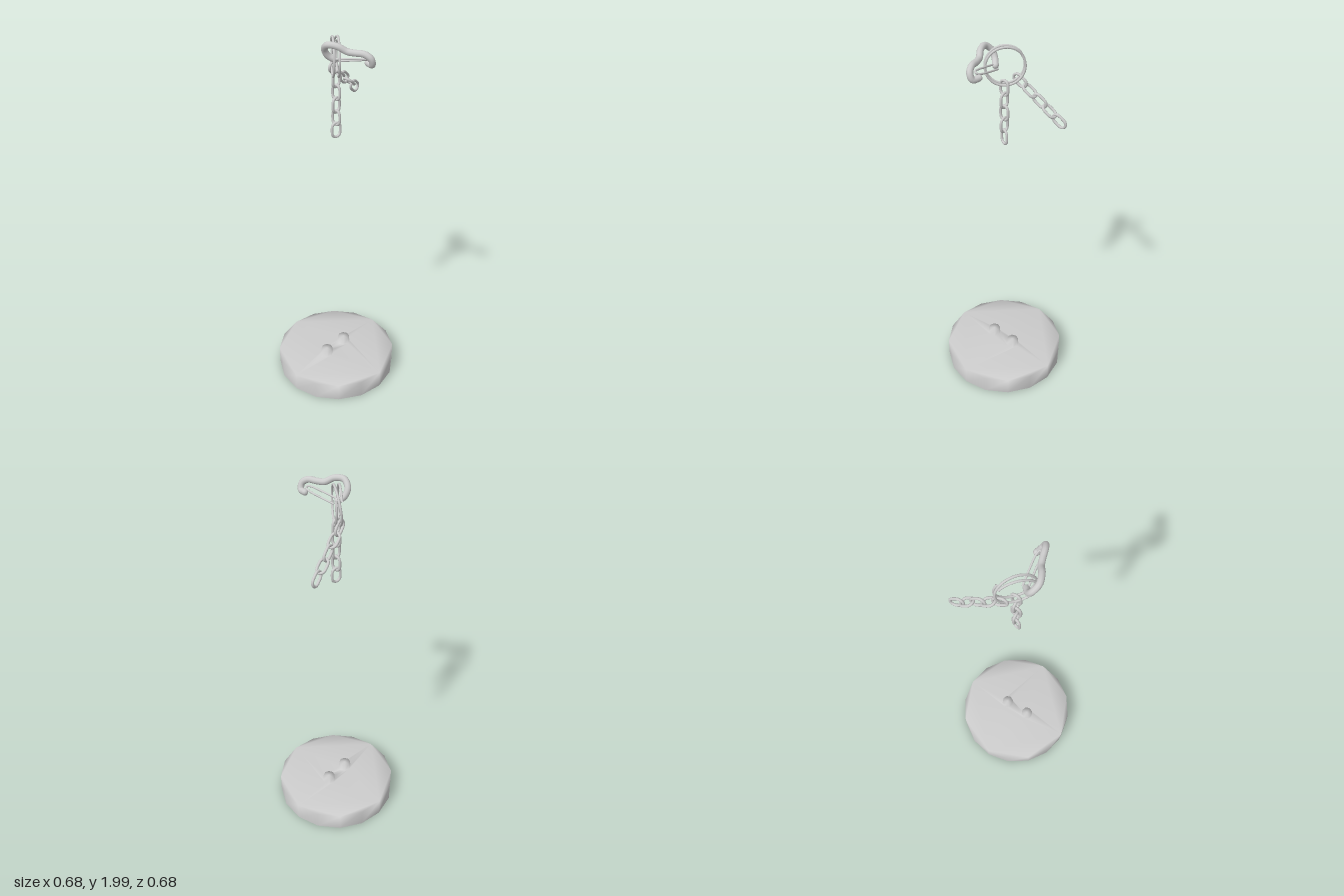
import * as THREE from 'three';
import { mergeGeometries, mergeVertices } from 'three/addons/utils/BufferGeometryUtils.js';

const V = (x, y, z) => new THREE.Vector3(x, y, z);

const polygon = (r, sides, cx = 0) =>
  Array.from({ length: sides }, (_, i) => {
    const a = (i / sides) * Math.PI * 2;
    return new THREE.Vector2(cx + r * Math.cos(a), r * Math.sin(a));
  });

// Hollow, open-bottomed dish with two hollow pegs, smoothed as one skin
function dishGeometry() {
  const radius = 0.338, height = 0.1, pegHeight = 0.04;
  const pegs = [-0.08, 0.066];
  const top = new THREE.Shape(polygon(radius, 16));
  const parts = [new THREE.CylinderGeometry(radius, radius, height, 16, 1, true).translate(0, height / 2, 0)];
  for (const x of pegs) {
    top.holes.push(new THREE.Path(polygon(0.036, 8, x)));
    parts.push(
      new THREE.CylinderGeometry(0.033, 0.036, pegHeight, 8, 1, true).translate(x, height + pegHeight / 2, 0),
      new THREE.CircleGeometry(0.033, 8).rotateX(-Math.PI / 2).translate(x, height + pegHeight, 0)
    );
  }
  parts.push(new THREE.ShapeGeometry(top).rotateX(-Math.PI / 2).translate(0, height, 0));
  for (const p of parts) {
    p.deleteAttribute('normal');
    p.deleteAttribute('uv');
  }
  const g = mergeVertices(mergeGeometries(parts), 1e-4);
  g.computeVertexNormals();
  return g;
}

// Oval chain link, long along y and wide along x
function linkGeometry() {
  const half = 0.015, r = 0.023, points = [];
  for (let i = 0; i < 16; i++) {
    const a = ((i + 0.5) / 16) * Math.PI * 2;
    points.push(V(r * Math.cos(a), r * Math.sin(a) + half * Math.sign(Math.sin(a)), 0));
  }
  return new THREE.TubeGeometry(new THREE.CatmullRomCurve3(points, true), 32, 0.007, 8, true);
}

// Double-coil split ring in the xy plane
function splitRingGeometry() {
  const points = [], n = 64;
  for (let i = 0; i <= n; i++) {
    const t = i / n, a = t * Math.PI * 4 + 0.6;
    const z = THREE.MathUtils.lerp(-0.013, 0.013, THREE.MathUtils.smoothstep(t, 0.4, 0.6));
    points.push(V(0.094 * Math.cos(a), 0.094 * Math.sin(a), z));
  }
  return new THREE.TubeGeometry(new THREE.CatmullRomCurve3(points), 128, 0.006, 8);
}

export function createModel() {
  const model = new THREE.Group();
  const metal = new THREE.MeshStandardMaterial({ color: 0xcccccc, side: THREE.DoubleSide });
  metal.name = 'grey metal';

  const add = (name, geometry, parent = model) => {
    const mesh = new THREE.Mesh(geometry, metal);
    mesh.name = name;
    parent.add(mesh);
    return mesh;
  };

  // Tube along a list of points, with rounded ends
  const rod = (name, points, radius, parent) => {
    add(name, new THREE.TubeGeometry(new THREE.CatmullRomCurve3(points), 48, radius, 10), parent);
    for (const p of [points[0], points[points.length - 1]])
      add(name + 'End', new THREE.SphereGeometry(radius, 10, 6), parent).position.copy(p);
  };

  add('dish', dishGeometry());

  const ring = add('splitRing', splitRingGeometry());
  ring.position.set(0, 1.89, -0.005);
  ring.rotation.y = 0.83;

  // Chains: each link is turned a quarter against the one before
  const link = linkGeometry();
  const chain = (name, start, step, side, lastTwist) => {
    const group = new THREE.Group();
    group.name = name;
    const along = step.clone().normalize();
    const wide = side.clone().addScaledVector(along, -side.dot(along)).normalize();
    const basis = new THREE.Matrix4().makeBasis(wide, along, wide.clone().cross(along));
    for (let i = 0; i < 5; i++) {
      const mesh = add('chainLink', link, group);
      mesh.quaternion.setFromRotationMatrix(basis);
      mesh.rotateY((i % 2) * Math.PI / 2 + (i === 4 ? lastTwist : 0));
      mesh.position.copy(start).addScaledVector(step, i);
    }
    model.add(group);
  };
  chain('hangingChain', V(0, 1.779, 0), V(0, -0.066, 0), V(1, 0, 0), 0.3);
  chain('swingingChain', V(0.046, 1.81, -0.06), V(0.052, -0.04, -0.011), V(0.6, 0.78, 0), 0);

  // Snap hook: thick bent body with a thin wire gate
  const hook = new THREE.Group();
  hook.name = 'snapHook';
  model.add(hook);
  rod('hookBody', [
    V(-0.035, 1.89, 0.022), V(-0.058, 1.91, 0), V(-0.078, 1.945, -0.003), V(-0.092, 1.975, 0.03),
    V(-0.075, 1.974, 0.078), V(-0.05, 1.952, 0.115), V(-0.036, 1.95, 0.15), V(-0.022, 1.95, 0.195),
    V(-0.008, 1.93, 0.222), V(0.004, 1.9, 0.218), V(0.013, 1.9, 0.185)
  ], 0.016, hook);
  rod('hookGate', [
    V(-0.042, 1.895, 0.03), V(-0.03, 1.91, 0.1), V(-0.014, 1.923, 0.18), V(0, 1.92, 0.19),
    V(0.006, 1.912, 0.17), V(-0.002, 1.895, 0.1), V(-0.014, 1.88, 0.03)
  ], 0.005, hook);

  return model;
}
